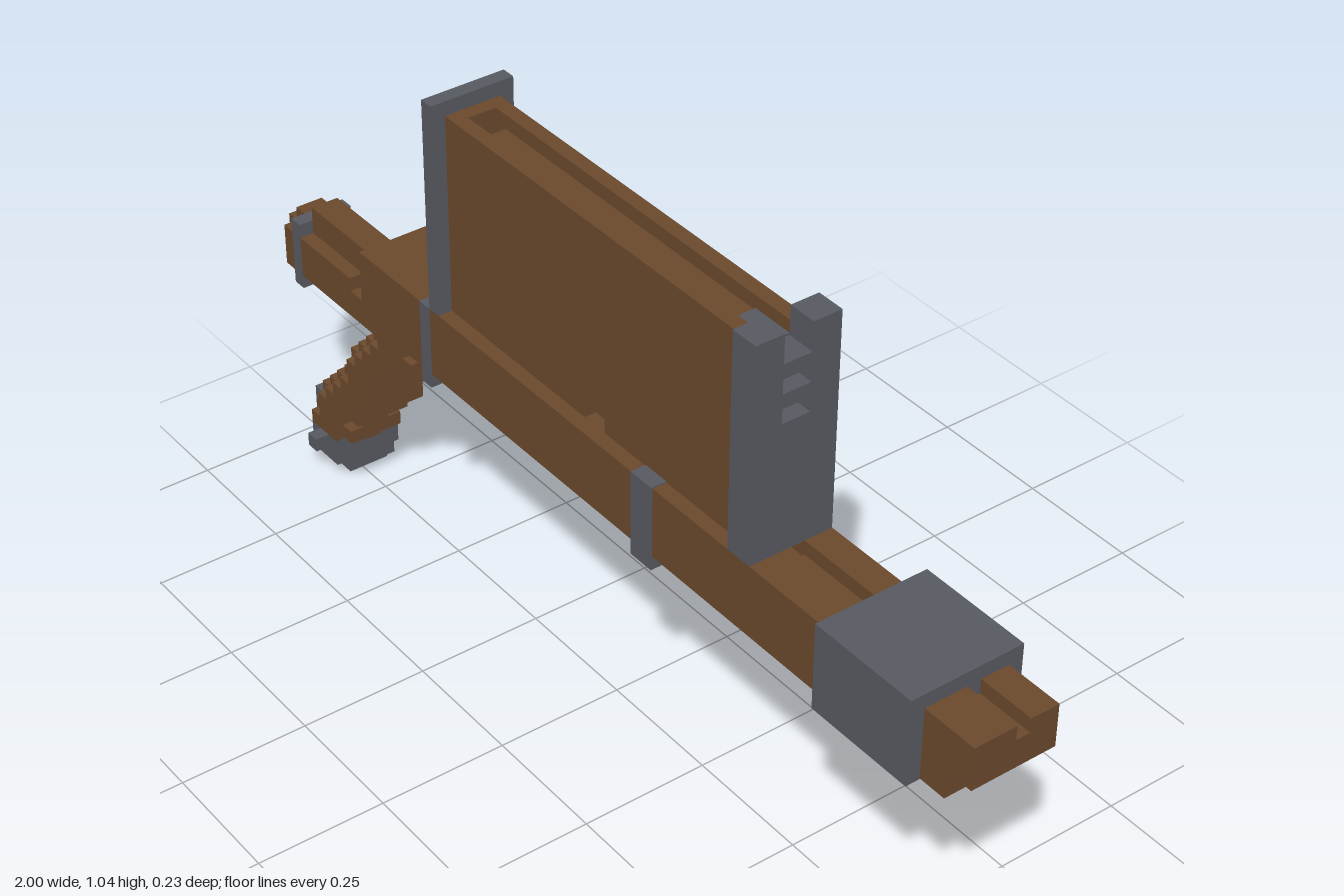
import * as THREE from 'three';
import { mergeGeometries } from 'three/addons/utils/BufferGeometryUtils.js';

const U = 2 / 71; // one block

export function createModel() {
  const model = new THREE.Group();
  const wood = new THREE.MeshStandardMaterial({ color: 0x6b4a2d });
  wood.name = 'wood brown';
  const steel = new THREE.MeshStandardMaterial({ color: 0x585a62 });
  steel.name = 'steel grey';

  // Each box is [x0, x1, y0, y1, z0, z1] in blocks, x counted from the rear end
  const part = (name, material, boxes) => {
    const geos = boxes.map(([x0, x1, y0, y1, z0, z1]) =>
      new THREE.BoxGeometry((x1 - x0) * U, (y1 - y0) * U, (z1 - z0) * U)
        .translate((x0 + x1) / 2 * U - 1, (y0 + y1) / 2 * U, (z0 + z1) / 2 * U));
    const mesh = new THREE.Mesh(mergeGeometries(geos), material);
    mesh.name = name;
    model.add(mesh);
  };
  // A box together with its mirror image across z = 0
  const pair = (x0, x1, y0, y1, z0, z1) => [[x0, x1, y0, y1, z0, z1], [x0, x1, y0, y1, -z1, -z0]];

  // Long body with a recess on the -z side and a groove along the top front
  part('body', wood, [
    [12, 52, 17, 22, -1, 3],
    [12, 35, 17, 22, -3, -1],
    [35, 39, 17, 19, -3, -1],
    [39, 52, 17, 22, -3, -1],
    [52, 69, 17, 21, -3, 3],
    [52, 69, 21, 22, -3, -1],
    [52, 69, 21, 22, 0, 3],
  ]);
  part('muzzle', wood, [
    [69, 71, 19, 21, -3, 3],
    [69, 71, 21, 22, -3, -1],
    [69, 71, 21, 22, 0, 3],
  ]);
  part('boltHandle', wood, [
    [36, 38, 19, 20, -2, -1],
    [37, 38, 19, 21, -3, -2],
  ]);
  part('muzzleSleeve', steel, [[59, 67, 16.95, 23, -4, 4]]);

  // Straps set around the body
  const e = 0.08;
  for (const [name, x0, x1] of [['rearStrap', 19, 20], ['frontStrap', 41, 43]]) {
    part(name, steel, [
      ...pair(x0, x1, 16, 22 + e, 2, 3 + e),
      [x0, x1, 16, 17, -3, 3],
    ]);
  }

  // Tall magazine with a slot on top and a small hole through its foot
  part('magazine', wood, [
    [21, 35, 22, 23, -2, 2],
    [36, 37, 22, 23, -1, 1],
    [37, 50, 22, 23, -2, 2],
    ...pair(21, 50, 23, 36, 1, 2),
    [21, 50, 23, 31, -1, 1],
    [21, 22, 31, 36, -1, 1],
    [23, 50, 31, 35, -1, 1],
  ]);
  part('magazineBackSlab', wood, [[19, 20, 22, 36, -2, 2]]);
  part('magazineRearPlate', steel, [[20, 21, 22, 37, -3, 3]]);
  part('magazineFollower', steel, [[47, 50, 34.9, 35.15, -1, 1]]);

  // Front post with three windows and a notch
  part('magazineFrontPost', steel, [
    ...pair(50, 52, 22, 37, 1, 3),
    [50, 52, 22, 31, -1, 1],
    [50, 52, 32, 33, -1, 1],
    [50, 52, 34, 35, -1, 1],
  ]);

  // Rear stock with side rails
  part('stock', wood, [
    [3, 12, 15, 20, -1, 1],
    [3, 6, 14, 15, -1, 1],
    [11, 12, 20, 21, -1, 1],
    ...pair(3, 9, 17, 18, 1, 2),
    ...pair(3, 12, 15, 17, 1, 2),
  ]);
  part('stockRing', steel, [
    [2, 3, 14, 19, -2, 2],
  ]);
  part('stockEnd', wood, [
    [0, 2, 15, 18, -1, 1],
    [1, 2, 14, 19, -1, 1],
    [1, 2, 15, 18, -2, 2],
  ]);
  part('gripMount', wood, [
    [12, 18, 16, 17, -2, 2],
    [12, 15, 15, 16, -2, 2],
  ]);

  // Slanted grip in stepped rows, thinner at its sides
  const rows = [];
  for (let y = 3; y < 15; y++) {
    const left = Math.round(3.3 + (y - 5) * 0.8);
    const inset = y % 2;
    rows.push([left, left + 5, y, y + 1, -1, 1]);
    rows.push(...pair(left + 1, left + 5 - inset, y, y + 1, 1, 2));
  }
  part('grip', wood, rows);

  // Rounded pommel
  part('pommel', steel, [
    [3, 6, 0, 1, -2, 1],
    [2, 7, 1, 4, -2, 1],
    [2, 6, 4, 5, -2, 1],
    [3, 6, 1, 4, -3, 2],
    [4, 5, 2, 3, 2, 3],
  ]);

  return model;
}
